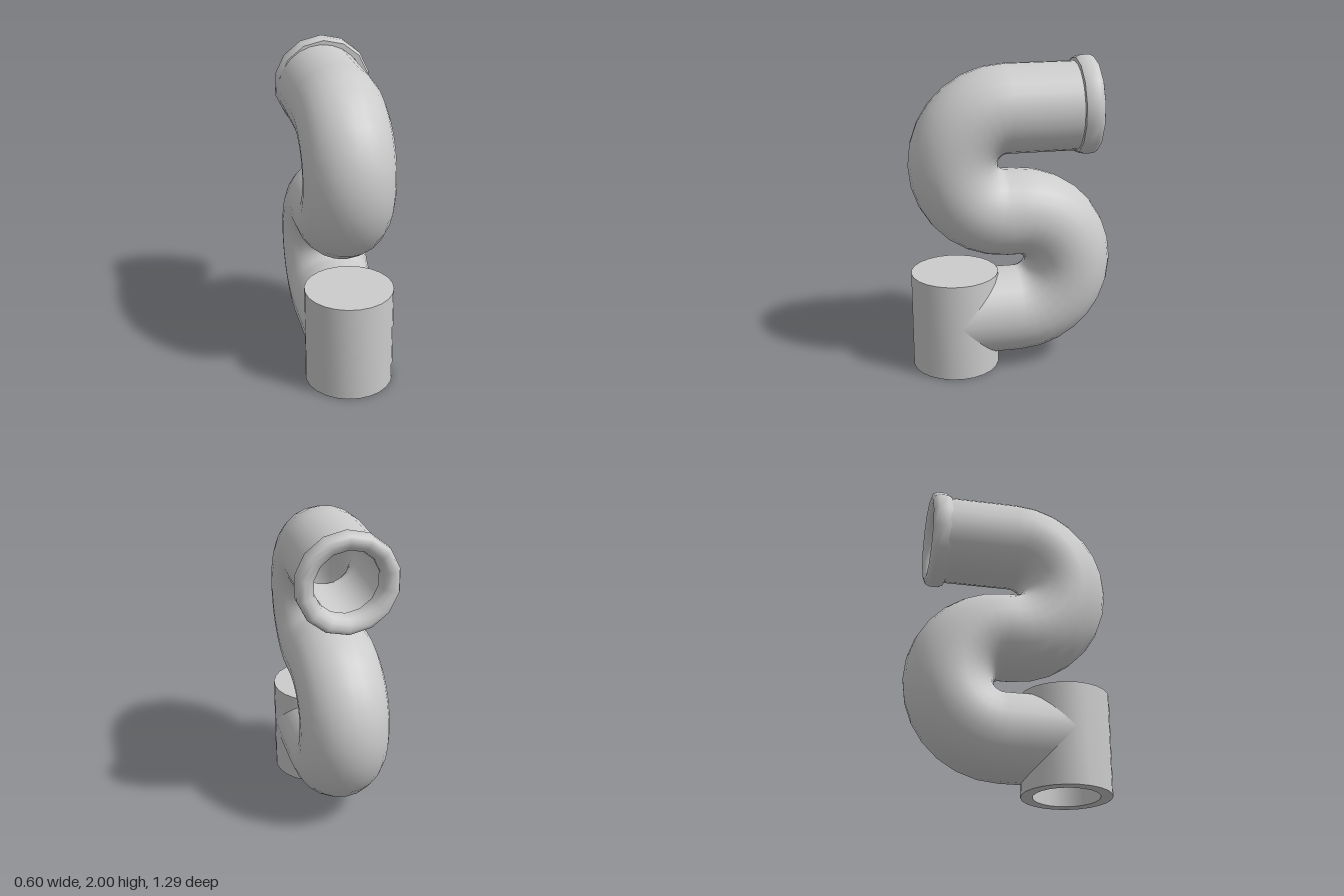
import * as THREE from 'three';
import { toCreasedNormals } from 'three/addons/utils/BufferGeometryUtils.js';

const R = 0.278;          // pipe outer radius
const BORE = 0.205;       // pipe inner radius
const BEND = 0.333;       // centre-line radius of the bends
const BEND_Z = 0.034;     // offset of the bend centres
const SOCKET_Z = 0.367;   // axis of the upright socket
const SIDES = 24;

const outside = new THREE.MeshStandardMaterial({ color: 0xcccccc });
const inside = new THREE.MeshStandardMaterial({ color: 0xcccccc, side: THREE.BackSide });

function part(name, geometry, material = outside) {
  const mesh = new THREE.Mesh(geometry, material);
  mesh.name = name;
  return mesh;
}

// Open straight pipe along z
function straight(y, z0, z1, r) {
  return new THREE.CylinderGeometry(r, r, z1 - z0, SIDES, 1, true)
    .rotateX(Math.PI / 2)
    .translate(0, y, (z0 + z1) / 2);
}

// Half-circle bend in the yz plane, bulging to +z or -z
function bend(y, dir, r) {
  return new THREE.TorusGeometry(BEND, r, SIDES, 14, Math.PI)
    .rotateZ(-dir * Math.PI / 2)
    .rotateY(-Math.PI / 2)
    .translate(0, y, dir * BEND_Z);
}

function lathe(profile, sides, crease) {
  const points = profile.map(([x, y]) => new THREE.Vector2(x, y));
  return toCreasedNormals(new THREE.LatheGeometry(points, sides), crease);
}

export function createModel() {
  const model = new THREE.Group();
  model.name = 'drainTrap';

  const pipe = new THREE.Group();
  pipe.name = 'pipe';
  pipe.position.x = -0.018;
  model.add(pipe);

  // S-shaped run, from the collar down to the socket
  pipe.add(part('upperPipe', straight(1.681, -0.46, BEND_Z, R)));
  pipe.add(part('upperBend', bend(1.348, 1, R)));
  pipe.add(part('middlePipe', straight(1.015, -BEND_Z, BEND_Z, R)));
  pipe.add(part('lowerBend', bend(0.682, -1, R)));

  // Lower pipe, its end cut to fit the round socket wall
  const lower = straight(0.349, -BEND_Z, SOCKET_Z, R);
  const pos = lower.attributes.position;
  for (let i = 0; i < pos.count; i++) {
    if (pos.getZ(i) > 0) {
      const x = pos.getX(i);
      pos.setZ(i, SOCKET_Z - Math.sqrt(Math.max(0, R * R - x * x)) + 0.005);
    }
  }
  pipe.add(part('lowerPipe', lower));

  // Inner wall seen through the collar
  pipe.add(part('upperPipeBore', straight(1.681, -0.47, BEND_Z, BORE), inside));
  pipe.add(part('upperBendBore', bend(1.348, 1, BORE), inside));
  pipe.add(part('middlePipeBore', straight(1.015, -BEND_Z, BEND_Z, BORE), inside));
  pipe.add(part('lowerBendBore', bend(0.682, -1, BORE), inside));

  // Upright socket, flat on top and hollow from below
  const socket = part('socket', lathe([
    [0, 0.55], [BORE, 0.55], [BORE, 0], [R, 0], [R, 0.635], [0, 0.635],
  ], SIDES, 0.6));
  socket.position.z = SOCKET_Z;
  pipe.add(socket);

  // Rounded collar round the open end
  const collar = part('collar', lathe([
    [0.26, 0.4], [0.295, 0.4], [0.31, 0.43], [0.31, 0.485], [0.297, 0.513],
    [0.27, 0.522], [0.235, 0.513], [0.21, 0.49], [0.2, 0.455], [0.2, 0.42],
  ], 14, 0.95).rotateX(-Math.PI / 2));
  collar.position.y = 1.69;
  model.add(collar);

  return model;
}
